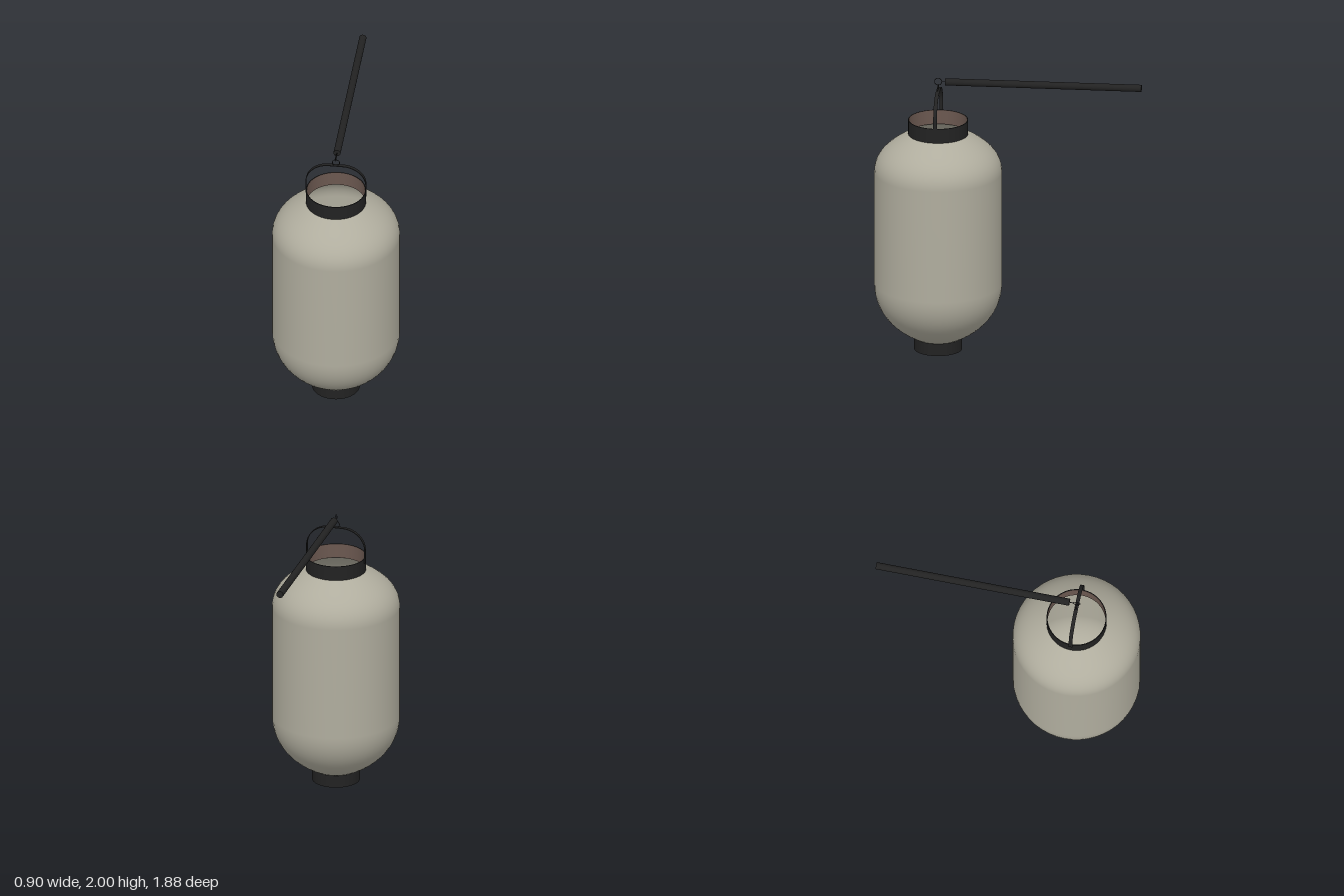
import * as THREE from 'three';

export function createModel() {
  const group = new THREE.Group();
  const mat = (name, color, side = THREE.FrontSide) => {
    const m = new THREE.MeshStandardMaterial({ color, side });
    m.name = name;
    return m;
  };
  const paper = mat('warm grey paper', 0xb0ad9e, THREE.DoubleSide);
  const black = mat('black lacquer', 0x222222);
  const wood = mat('brown wood', 0x6b5850, THREE.DoubleSide);

  const lantern = new THREE.Group();
  lantern.name = 'lantern';
  lantern.position.z = 0.49;
  group.add(lantern);

  const add = (name, geo, material, x = 0, y = 0, z = 0, parent = lantern) => {
    const mesh = new THREE.Mesh(geo, material);
    mesh.name = name;
    mesh.position.set(x, y, z);
    parent.add(mesh);
    return mesh;
  };
  const v = (x, y) => new THREE.Vector2(x, y);
  const lathe = (pts) => new THREE.LatheGeometry(pts, 48);

  // Paper body: rounded shoulders joined by a straight wall
  const lower = new THREE.CubicBezierCurve(v(0.167, 0.09), v(0.33, 0.17), v(0.448, 0.3), v(0.448, 0.49));
  const upper = new THREE.CubicBezierCurve(v(0.448, 1.31), v(0.448, 1.43), v(0.36, 1.51), v(0.205, 1.592));
  add('paperBody', lathe([...lower.getPoints(14), ...upper.getPoints(14)]), paper);

  // Top collar: black outside and rim, brown lining
  add('topCollar', lathe([v(0.21, 1.59), v(0.21, 1.695)]), black);
  add('topCollarRim', new THREE.RingGeometry(0.204, 0.21, 48).rotateX(-Math.PI / 2), black, 0, 1.695);
  add('topCollarUnderside', new THREE.RingGeometry(0.204, 0.21, 48).rotateX(Math.PI / 2), black, 0, 1.59);
  add('topCollarLining', lathe([v(0.204, 1.59), v(0.204, 1.695)]), wood);

  // Closed base with a wooden floor and a candle
  add('baseCollar', new THREE.CylinderGeometry(0.168, 0.168, 0.09, 48), black, 0, 0.045);
  add('baseFloor', new THREE.CylinderGeometry(0.165, 0.165, 0.006, 48), wood, 0, 0.093);
  add('candle', new THREE.CylinderGeometry(0.06, 0.06, 0.2, 32), paper, 0, 0.196);
  add('wick', new THREE.CylinderGeometry(0.006, 0.006, 0.04, 8), black, 0, 0.316);

  // Flat band handle, arched over the opening
  const band = new THREE.Shape();
  band.moveTo(0.214, 1.66);
  band.lineTo(0.214, 1.755);
  band.bezierCurveTo(0.214, 1.84, 0.14, 1.909, 0.05, 1.909);
  band.lineTo(-0.05, 1.909);
  band.bezierCurveTo(-0.14, 1.909, -0.214, 1.84, -0.214, 1.755);
  band.lineTo(-0.214, 1.66);
  band.lineTo(-0.209, 1.66);
  band.lineTo(-0.209, 1.755);
  band.bezierCurveTo(-0.209, 1.838, -0.138, 1.904, -0.05, 1.904);
  band.lineTo(0.05, 1.904);
  band.bezierCurveTo(0.138, 1.904, 0.209, 1.838, 0.209, 1.755);
  band.lineTo(0.209, 1.66);
  const bandGeo = new THREE.ExtrudeGeometry(band, { depth: 0.026, bevelEnabled: false, curveSegments: 16 });
  add('handle', bandGeo, black, 0, 0, -0.013);

  // Two linked wire rings, set at right angles
  const ring = () => new THREE.TorusGeometry(0.025, 0.0025, 8, 32);
  add('lowerRing', ring(), black, 0, 1.929);
  add('upperRing', ring().rotateY(Math.PI / 2), black, 0, 1.975);

  // Carrying pole with its end pin
  add('pole', new THREE.CylinderGeometry(0.025, 0.025, 1.38, 24).rotateX(Math.PI / 2), black, 0, 1.975, -0.25, group);
  add('polePin', new THREE.CylinderGeometry(0.003, 0.003, 0.03, 8).rotateX(Math.PI / 2), black, 0, 1.975, 0.452, group);

  return group;
}
